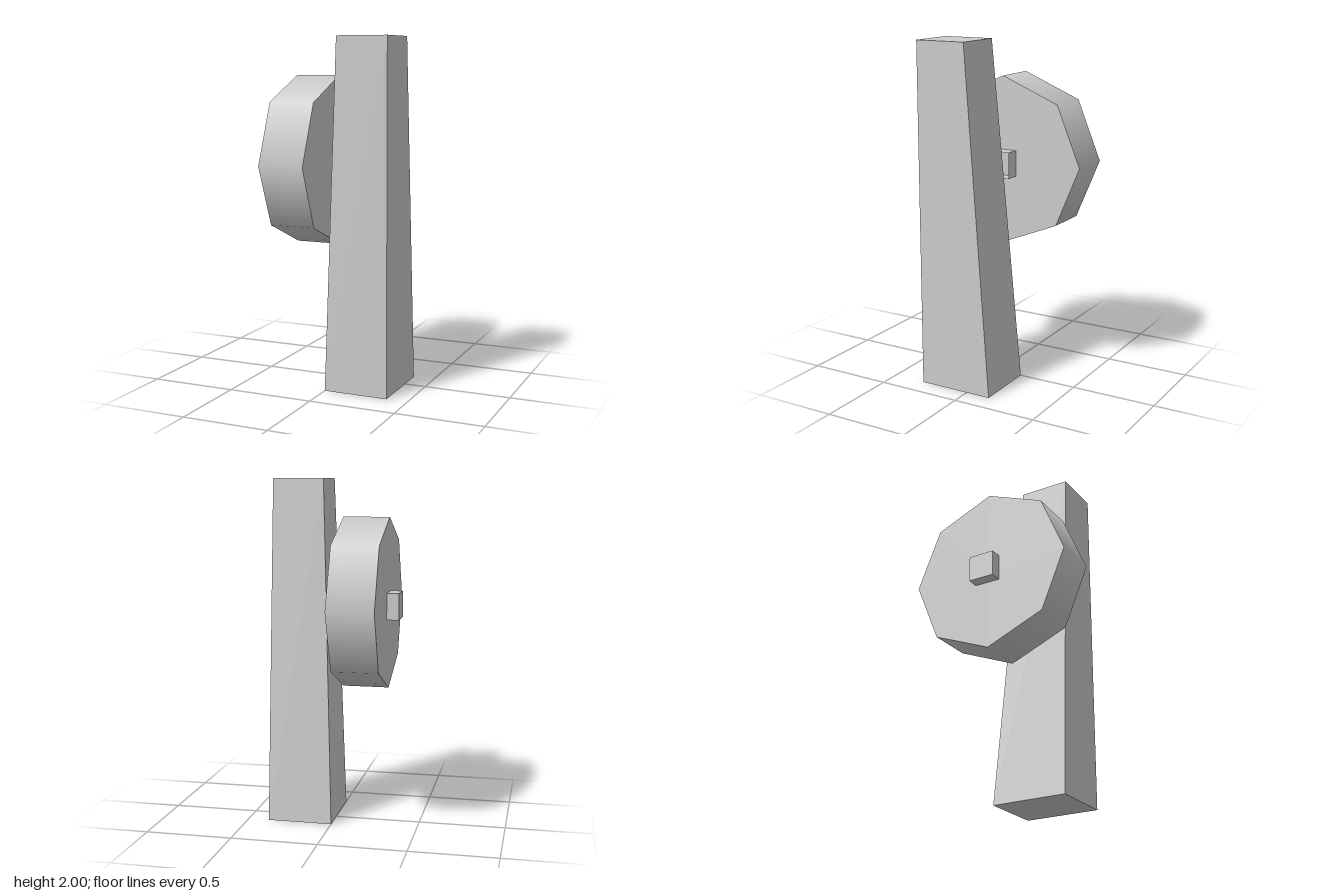
import * as THREE from 'three';

const material = new THREE.MeshStandardMaterial({ color: 0xcccccc });
const doubleSided = new THREE.MeshStandardMaterial({ color: 0xcccccc, side: THREE.DoubleSide });

function addPart(group, name, geometry, mat = material) {
  const mesh = new THREE.Mesh(geometry, mat);
  mesh.name = name;
  group.add(mesh);
  return mesh;
}

// Box whose bottom and top rectangles differ: each is [xMin, xMax, zMin, zMax]
function taperedBox(height, bottom, top) {
  const geometry = new THREE.BoxGeometry(1, 1, 1);
  const p = geometry.attributes.position;
  for (let i = 0; i < p.count; i++) {
    const r = p.getY(i) > 0 ? top : bottom;
    p.setXYZ(i, p.getX(i) > 0 ? r[1] : r[0], p.getY(i) > 0 ? height : 0, p.getZ(i) > 0 ? r[3] : r[2]);
  }
  const flat = geometry.toNonIndexed();
  flat.computeVertexNormals();
  return flat;
}

export function createModel() {
  const model = new THREE.Group();
  model.name = 'wheelOnPost';

  // Leaning, tapered post
  addPart(model, 'post', taperedBox(2, [0, 0.377, -0.148, 0.3], [0.076, 0.373, 0.005, 0.307]));

  // Eight-sided wheel with a smooth rim
  const wheel = addPart(model, 'wheel', new THREE.CylinderGeometry(0.491, 0.491, 0.268, 8).rotateZ(Math.PI / 2));
  wheel.position.set(-0.176, 1.291, 0);

  // Square axle, open at the end that meets the post
  const axleGeometry = new THREE.BoxGeometry(0.422, 0.152, 0.155);
  axleGeometry.setIndex(Array.from(axleGeometry.index.array.slice(6)));
  axleGeometry.clearGroups();
  const axle = addPart(model, 'axle', axleGeometry, doubleSided);
  axle.position.set(-0.168, 1.281, -0.007);

  return model;
}
